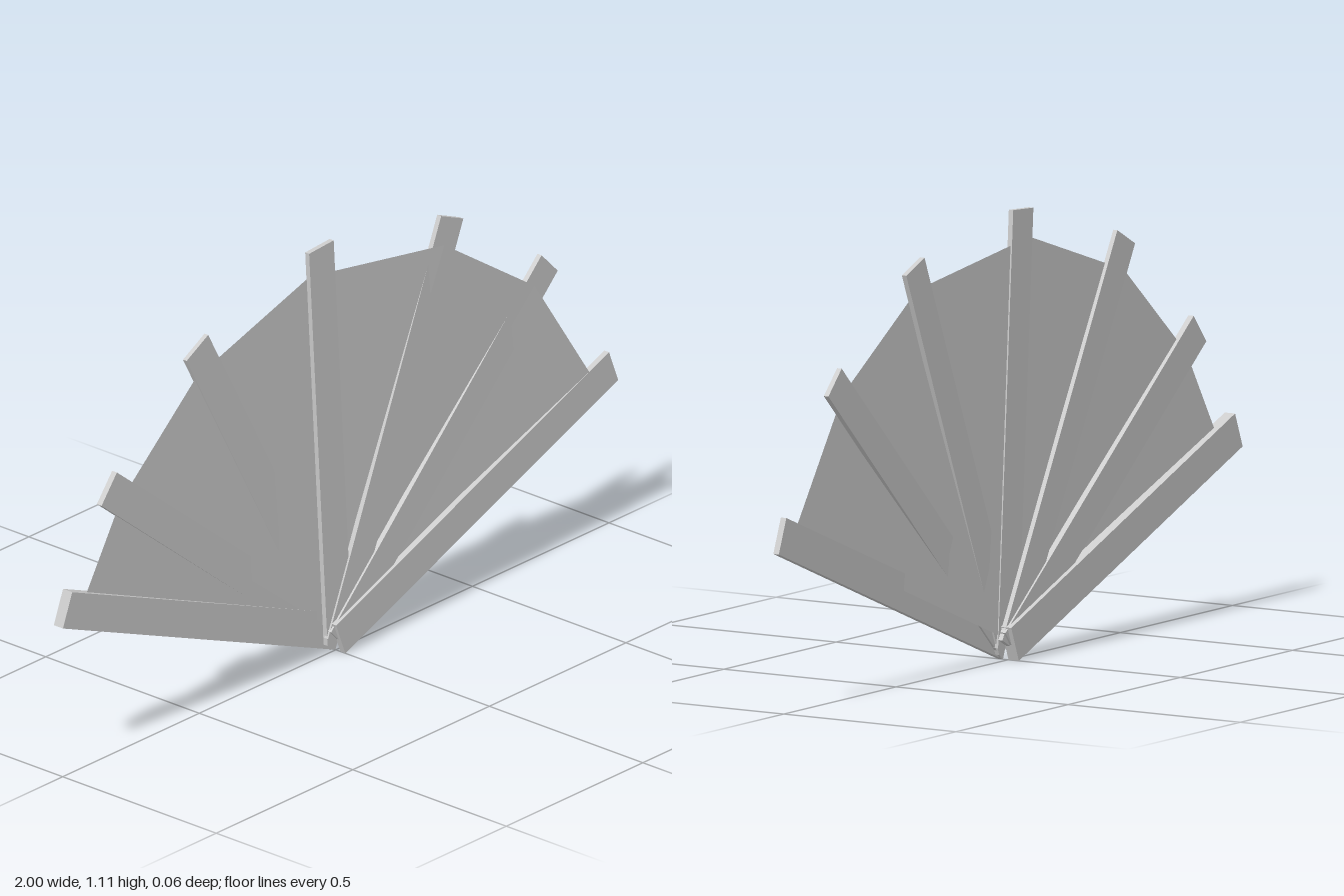
import * as THREE from 'three';

const material = new THREE.MeshStandardMaterial({ color: 0xcccccc, flatShading: true, side: THREE.DoubleSide });

const PIVOT_Y = 0.05;
const TAIL = 0.018; // how far each stick runs past the pivot
const REACH = 1.055; // pivot to tip
const LEAF_RADIUS = 0.985;

// One entry per stick: direction, depth range, and the leaf fold it carries
const sticks = [
  { name: 'leftGuard', angle: 21.4, back: 0.015, front: 0.031, width: 0.092, fold: [22.0, 0.031] },
  { name: 'stick1', angle: 44.1, back: 0.009, front: 0.0225, width: 0.085, fold: [44.8, 0.0255] },
  { name: 'stick2', angle: 67.3, back: 0.004, front: 0.017, width: 0.088, fold: [67.6, 0.0195] },
  { name: 'stick3', angle: 93.6, back: -0.001, front: 0.012, width: 0.09, fold: [95.6, 0.0] },
  { name: 'stick4', angle: 118.5, back: -0.015, front: -0.003, width: 0.09, fold: [120.8, -0.0073] },
  { name: 'stick5', angle: 141.4, back: -0.02, front: -0.0045, width: 0.09, fold: [142.1, -0.0115] },
  { name: 'rightGuard', angle: 158.4, back: -0.031, front: -0.001, width: 0.092, fold: [157.2, -0.015] },
];

// Flat bar that turns about the pivot
function makeStick({ name, angle, back, front, width }) {
  const geometry = new THREE.BoxGeometry(REACH + TAIL, width, front - back);
  geometry.translate((REACH - TAIL) / 2, 0, (front + back) / 2);
  const stick = new THREE.Mesh(geometry, material);
  stick.name = name;
  stick.position.y = PIVOT_Y;
  stick.rotation.z = THREE.MathUtils.degToRad(angle);
  return stick;
}

// Thin leaf: one flat panel between each pair of sticks, all meeting at the pivot
function makeLeaf() {
  const points = [0, PIVOT_Y, 0];
  const faces = [];
  sticks.forEach(({ fold: [angle, z] }, i) => {
    const a = THREE.MathUtils.degToRad(angle);
    points.push(LEAF_RADIUS * Math.cos(a), PIVOT_Y + LEAF_RADIUS * Math.sin(a), z);
    if (i > 0) faces.push(0, i, i + 1);
  });
  const geometry = new THREE.BufferGeometry();
  geometry.setAttribute('position', new THREE.Float32BufferAttribute(points, 3));
  geometry.setIndex(faces);
  geometry.computeVertexNormals();
  const leaf = new THREE.Mesh(geometry, material);
  leaf.name = 'leaf';
  return leaf;
}

export function createModel() {
  const fan = new THREE.Group();
  fan.name = 'foldingFan';
  sticks.forEach((s) => fan.add(makeStick(s)));
  fan.add(makeLeaf());
  return fan;
}
